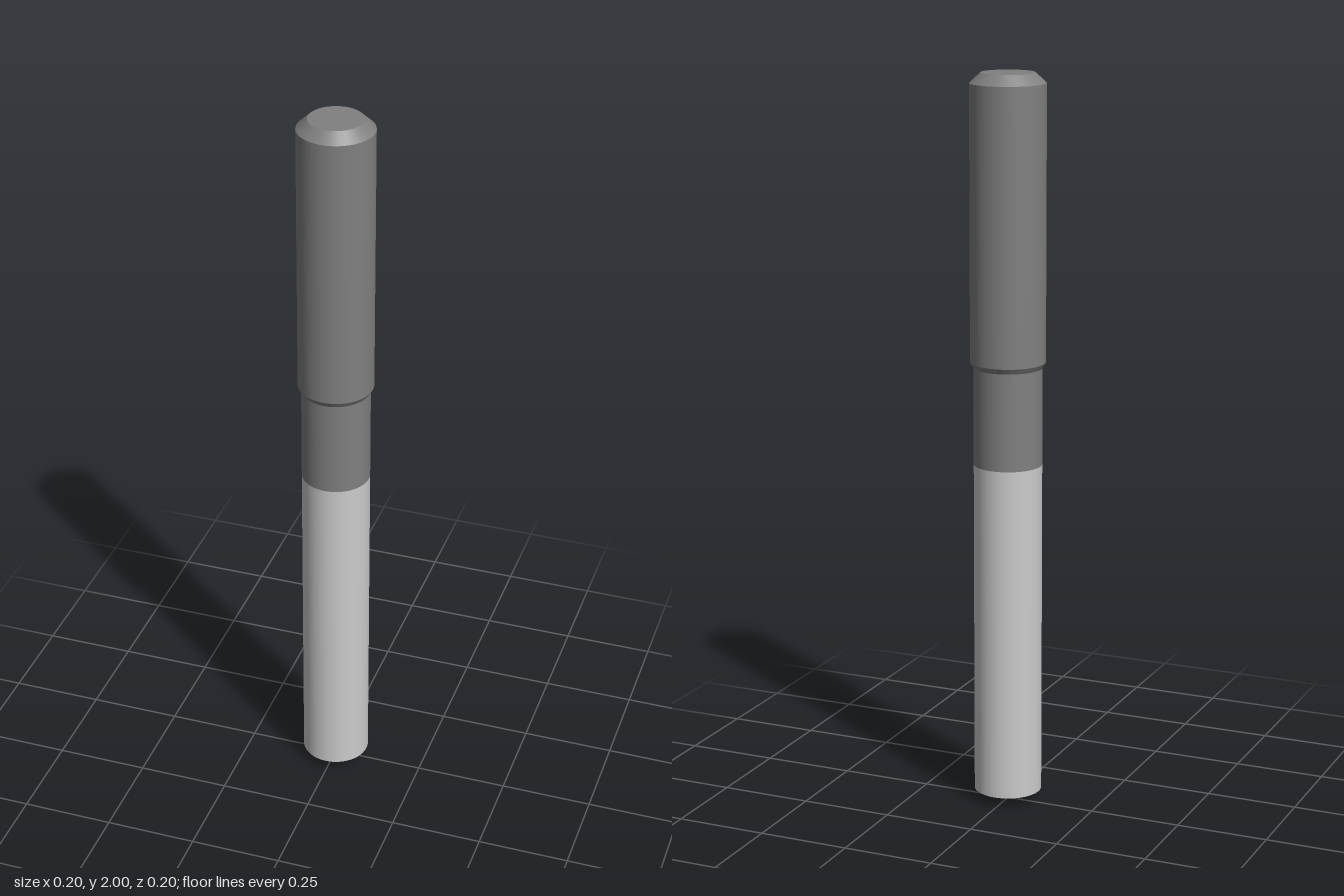
import * as THREE from 'three';

const SIDES = 96;

// One straight section of the turned profile, so the edges between sections stay sharp
function section(name, r0, y0, r1, y1, material) {
  const points = [new THREE.Vector2(r0, y0), new THREE.Vector2(r1, y1)];
  const mesh = new THREE.Mesh(new THREE.LatheGeometry(points, SIDES), material);
  mesh.name = name;
  return mesh;
}

export function createModel() {
  const model = new THREE.Group();
  model.name = 'drillBit';
  const light = new THREE.MeshStandardMaterial({ color: 0xcccccc });
  const dark = new THREE.MeshStandardMaterial({ color: 0x808080 });

  const bodyR = 0.092, shankR = 0.101, capR = 0.072;

  // Cutting end: shallow conical point and plain cylinder
  const cutter = new THREE.Group();
  cutter.name = 'cutter';
  cutter.add(
    section('point', 0, 0, bodyR, 0.033, light),
    section('cuttingBody', bodyR, 0.033, bodyR, 0.955, light),
  );

  // Holding end: neck, small step, thicker shank, chamfered top
  const holder = new THREE.Group();
  holder.name = 'holder';
  holder.add(
    section('neck', bodyR, 0.955, bodyR, 1.22, dark),
    section('step', bodyR, 1.22, shankR, 1.235, dark),
    section('shank', shankR, 1.235, shankR, 1.973, dark),
    section('chamfer', shankR, 1.973, capR, 2, dark),
  );
  const cap = new THREE.Mesh(new THREE.CircleGeometry(capR, SIDES), dark);
  cap.name = 'topFace';
  cap.rotation.x = -Math.PI / 2;
  cap.position.y = 2;
  holder.add(cap);

  model.add(cutter, holder);
  return model;
}
